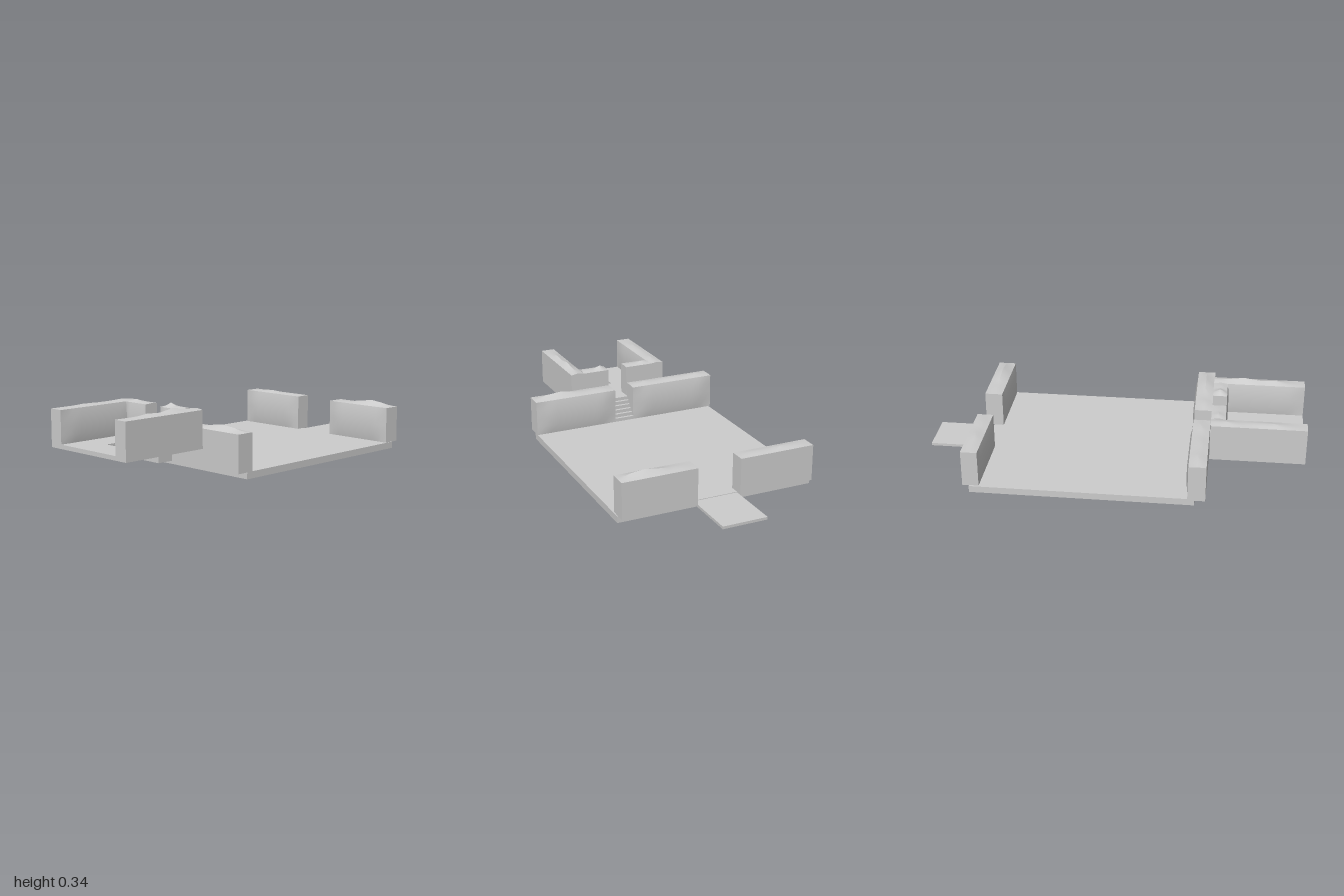
import * as THREE from 'three';
import { toCreasedNormals } from 'three/addons/utils/BufferGeometryUtils.js';

const material = new THREE.MeshStandardMaterial({ color: 0xcccccc });

function add(group, name, geometry) {
  const mesh = new THREE.Mesh(geometry, material);
  mesh.name = name;
  group.add(mesh);
  return mesh;
}

// Box given by its limits on each axis
function block(group, name, [x0, x1], [y0, y1], [z0, z1], segments = [1, 1, 1]) {
  const g = new THREE.BoxGeometry(x1 - x0, y1 - y0, z1 - z0, ...segments);
  g.translate((x0 + x1) / 2, (y0 + y1) / 2, (z0 + z1) / 2);
  return add(group, name, g);
}

// Height of a broken ridge line at t, from evenly spaced heights
function sample(ridge, t) {
  const s = t * (ridge.length - 1);
  const i = Math.min(Math.floor(s), ridge.length - 2);
  return THREE.MathUtils.lerp(ridge[i], ridge[i + 1], s - i);
}

// Wall with a worn, peaked top and a slightly bulging inner face.
// 'along' is the long axis, 'inner' the sign of the inner side on the other axis.
function wall(group, name, xs, ys, zs, along, inner, ridge, bulge = 0.01) {
  const across = along === 'x' ? 'z' : 'x';
  const lim = { x: xs, y: ys, z: zs };
  const mesh = block(group, name, xs, ys, zs, along === 'x' ? [12, 4, 4] : [4, 4, 12]);
  const pos = mesh.geometry.attributes.position;
  const v = new THREE.Vector3();
  const unit = (axis) => (v[axis] - lim[axis][0]) / (lim[axis][1] - lim[axis][0]);
  for (let i = 0; i < pos.count; i++) {
    v.fromBufferAttribute(pos, i);
    const t = THREE.MathUtils.clamp(unit(along), 0, 1);
    const h = unit('y');
    const c = unit(across);
    if (h > 0.999) v.y += sample(ridge, t) * (1 - Math.abs(2 * c - 1));
    if (Math.abs(c - (inner > 0 ? 1 : 0)) < 0.001) {
      const edge = Math.min(1, 6 * Math.min(t, 1 - t)) * Math.min(1, 4 * Math.min(h, 1 - h));
      v[across] += inner * bulge * edge;
    }
    pos.setXYZ(i, v.x, v.y, v.z);
  }
  mesh.geometry = toCreasedNormals(mesh.geometry, 0.5);
}

export function createModel() {
  const model = new THREE.Group();
  model.name = 'courtyardWithGateRoom';

  // Main floor and rear walkway
  block(model, 'mainFloor', [-0.53, 0.535], [0, 0.035], [-0.7, 0.45]);
  block(model, 'rearWalkway', [-0.11, 0.13], [0.018, 0.032], [-1, -0.695]);

  // Courtyard walls
  const low = [0.034, 0.226];
  wall(model, 'rearRightWall', [-0.52, -0.11], low, [-0.735, -0.65], 'x', 1,
    [0, 0.006, 0.012, 0.005, 0.008, 0]);
  wall(model, 'rearLeftWall', [0.13, 0.53], low, [-0.745, -0.65], 'x', 1,
    [0, 0.005, 0.008, 0.018, 0.026, 0.018, 0]);
  wall(model, 'frontRightWall', [-0.54, -0.045], low, [0.415, 0.505], 'x', -1,
    [0.002, 0.012, 0.008, 0.01, 0.006, 0.012, 0.002]);
  wall(model, 'frontLeftWall', [0.065, 0.535], low, [0.415, 0.51], 'x', -1,
    [0, 0.01, 0.006, 0.014, 0.025, 0.018, 0]);

  // Steps up to the raised room, on a solid footing
  const steps = 6;
  for (let i = 0; i < steps; i++) {
    block(model, 'step', [-0.045, 0.065],
      [0.034, 0.035 + (0.112 * (i + 1)) / steps],
      [0.415 + (0.095 * i) / steps, 0.415 + (0.095 * (i + 1)) / steps]);
  }
  block(model, 'roomFooting', [-0.045, 0.065], [0.034, 0.126], [0.51, 0.6]);

  // Raised room floor with a shallow square pit
  const plan = new THREE.Shape();
  plan.moveTo(-0.275, -1).lineTo(0.29, -1).lineTo(0.29, -0.51).lineTo(-0.275, -0.51).closePath();
  const pit = new THREE.Path();
  pit.moveTo(-0.045, -0.84).lineTo(-0.045, -0.735).lineTo(0.065, -0.735).lineTo(0.065, -0.84).closePath();
  plan.holes.push(pit);
  const floor = new THREE.ExtrudeGeometry(plan, { depth: 0.017, bevelEnabled: false });
  floor.rotateX(-Math.PI / 2).translate(0, 0.13, 0);
  add(model, 'roomFloor', floor);
  block(model, 'roomFloorBase', [-0.275, 0.29], [0.125, 0.13], [0.51, 1]);

  // Room walls: two long sides and two short returns beside the steps
  const high = [0.147, 0.318];
  wall(model, 'roomRightWall', [-0.275, -0.198], high, [0.51, 1], 'z', 1,
    [0.004, 0.01, 0.004, 0.008, 0.01, 0.003, 0], 0.008);
  wall(model, 'roomLeftWall', [0.215, 0.29], high, [0.51, 1], 'z', -1,
    [0.006, 0.012, 0.023, 0.01, 0.014, 0.004, 0], 0.008);
  wall(model, 'roomRightReturn', [-0.198, -0.045], high, [0.51, 0.585], 'x', 1,
    [0.006, 0.013, 0.008, 0.006, 0.002], 0.007);
  wall(model, 'roomLeftReturn', [0.065, 0.215], high, [0.51, 0.585], 'x', 1,
    [0, 0.022, 0.008, 0.009, 0.006], 0.007);

  return model;
}
